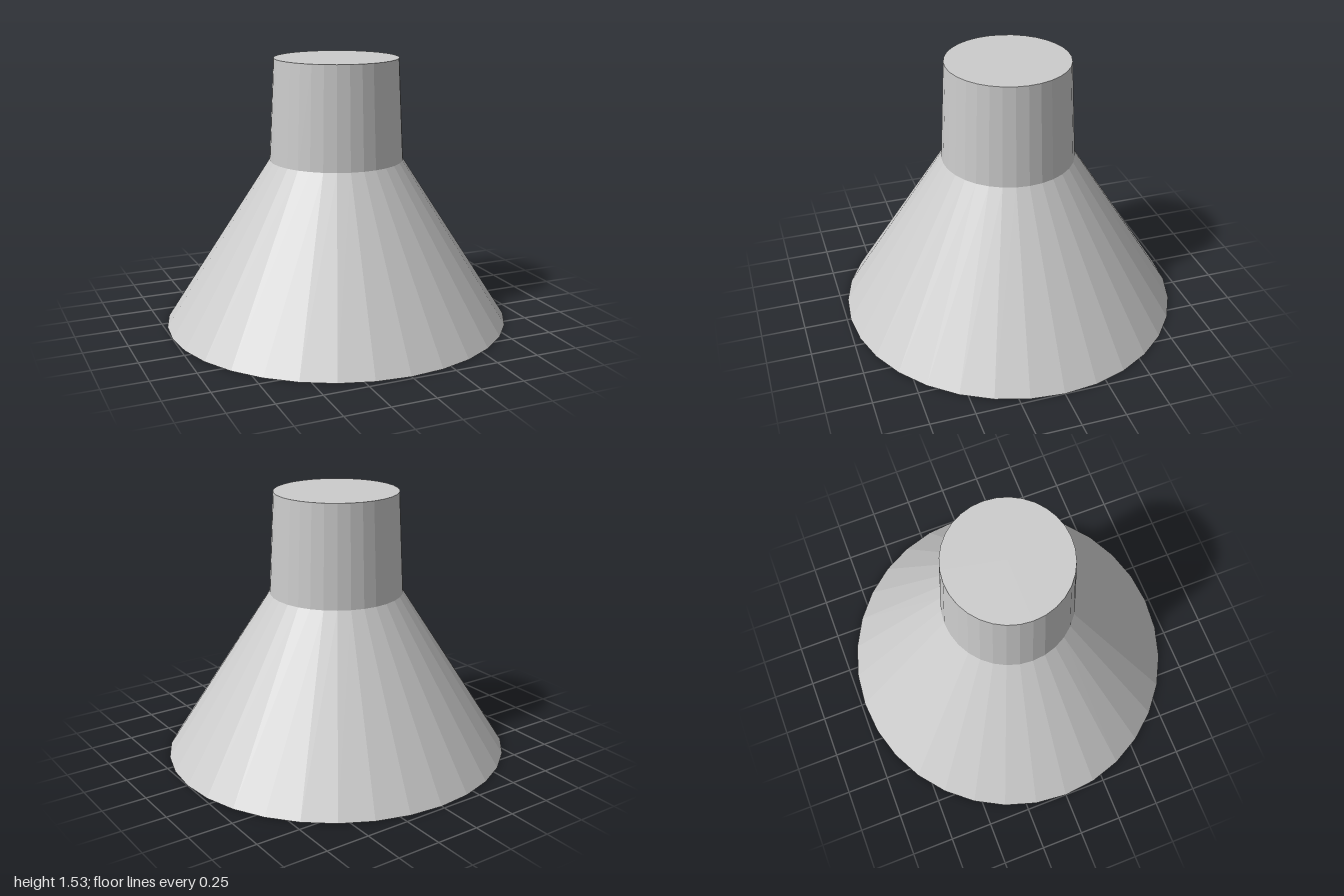
import * as THREE from 'three';

const SIDES = 32;

// Open faceted ring wall between two ellipses given as [radiusX, radiusZ]
function taperedWall(bottom, top, y0, y1) {
  const geometry = new THREE.CylinderGeometry(1, 1, y1 - y0, SIDES, 1, true);
  geometry.translate(0, (y0 + y1) / 2, 0);
  const p = geometry.attributes.position;
  for (let i = 0; i < p.count; i++) {
    const [rx, rz] = p.getY(i) > (y0 + y1) / 2 ? top : bottom;
    p.setX(i, p.getX(i) * rx);
    p.setZ(i, p.getZ(i) * rz);
  }
  geometry.computeVertexNormals();
  return geometry;
}

// Flat horizontal elliptical disc
function disc([rx, rz], y) {
  return new THREE.CircleGeometry(1, SIDES)
    .scale(rx, rz, 1).rotateX(-Math.PI / 2).translate(0, y, 0);
}

export function createModel() {
  const group = new THREE.Group();
  const material = new THREE.MeshStandardMaterial({
    color: 0xcccccc, flatShading: true, side: THREE.DoubleSide,
  });
  const add = (name, geometry) => {
    const mesh = new THREE.Mesh(geometry, material);
    mesh.name = name;
    group.add(mesh);
  };

  const rim = [1, 0.979], throat = [0.385, 0.381], crown = [0.356, 0.352];
  const recess = [0.33, 0.325];
  const neckY = 0.953, topY = 1.535, recessY = 0.73;

  // Flared outer shade
  add('shade', taperedWall(rim, throat, 0, neckY));

  // Shallower inner lining that ends in a flat recessed disc
  add('innerLining', taperedWall(rim, recess, 0, recessY));
  add('recessDisc', disc(recess, recessY));

  // Slightly tapered neck with a flat lid
  add('neck', taperedWall(throat, crown, neckY, topY));
  add('neckLid', disc(crown, topY));

  return group;
}
